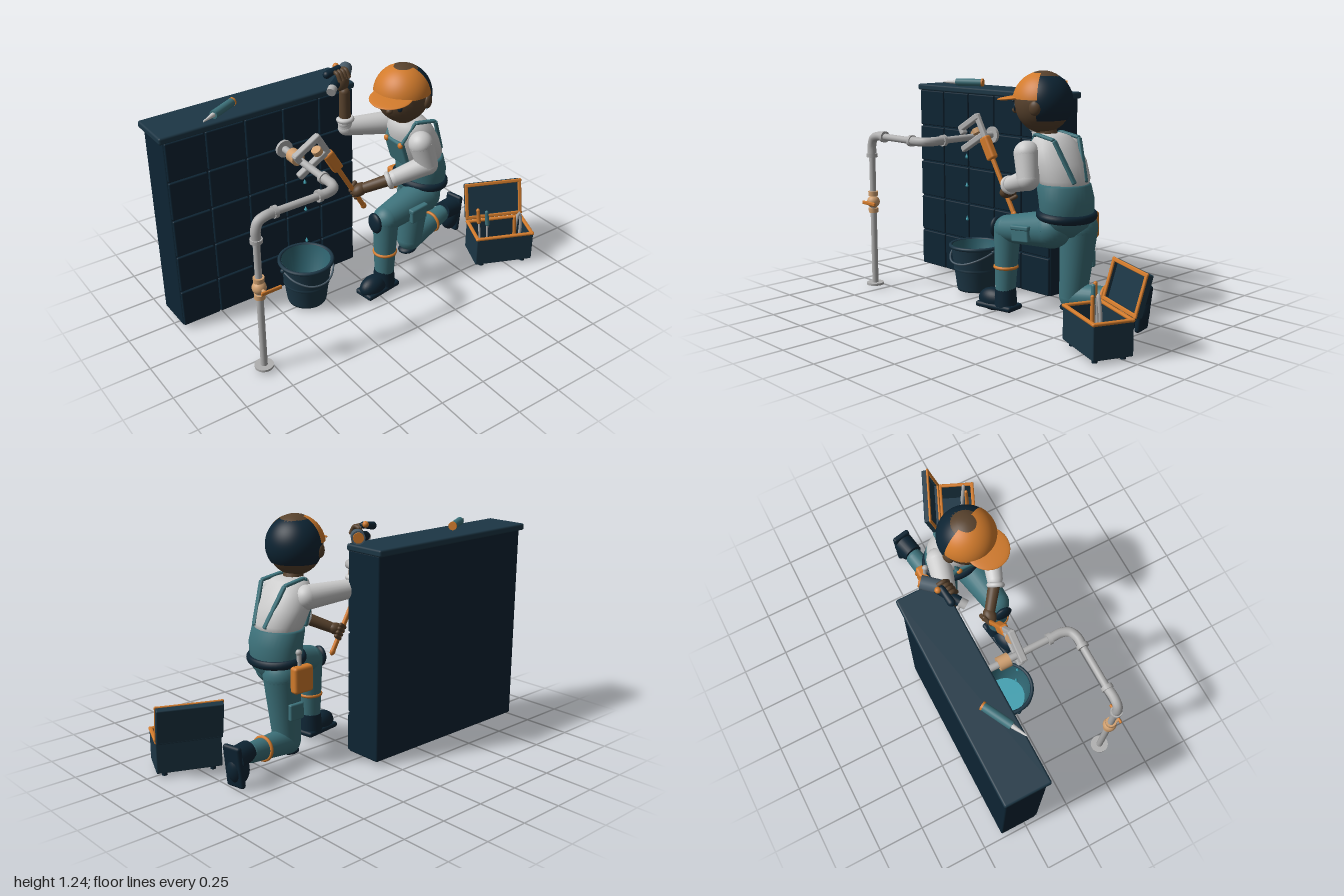
import * as THREE from 'three';
import { mergeVertices } from 'three/addons/utils/BufferGeometryUtils.js';
import { RoundedBoxGeometry } from 'three/addons/geometries/RoundedBoxGeometry.js';

const mat = (color, side = THREE.FrontSide) => new THREE.MeshStandardMaterial({ color, side });
const teal = mat(0x3d727b), dark = mat(0x0d2433), slate = mat(0x1c3645), orange = mat(0xd27b2c), white = mat(0xe6e6e6);
const steel = mat(0xb0b0b0), brass = mat(0xd0a070), skin = mat(0x58422d), grey = mat(0x4a5c69), water = mat(0x3f9fb0);
const V = (p) => new THREE.Vector3(...p);
const UP = new THREE.Vector3(0, 1, 0);

function add(parent, name, geo, material, pos = [0, 0, 0], rot = [0, 0, 0], scale = [1, 1, 1]) {
  const m = new THREE.Mesh(geo, material);
  m.name = name;
  m.position.set(...pos);
  m.rotation.set(...rot);
  m.scale.set(...scale);
  parent.add(m);
  return m;
}
function group(parent, name, pos = [0, 0, 0], rot = [0, 0, 0]) {
  const g = new THREE.Group();
  g.name = name;
  g.position.set(...pos);
  g.rotation.set(...rot);
  parent.add(g);
  return g;
}
const box = (p, name, m, size, pos, rot, r = 0.008) =>
  add(p, name, new RoundedBoxGeometry(...size, 2, Math.min(r, Math.min(...size) * 0.45)), m, pos, rot);
const ball = (p, name, m, r, pos, rot) => add(p, name, new THREE.SphereGeometry(1, 28, 20), m, pos, rot, Array.isArray(r) ? r : [r, r, r]);

// Lay a mesh along the line from a to b
function along(mesh, a, b) {
  const A = V(a), B = V(b);
  mesh.position.copy(A).add(B).multiplyScalar(0.5);
  mesh.quaternion.setFromUnitVectors(UP, B.sub(A).normalize());
  return mesh;
}
const dist = (a, b) => V(a).distanceTo(V(b));
const rod = (p, name, m, a, b, ra, rb = ra) => along(add(p, name, new THREE.CylinderGeometry(rb, ra, dist(a, b), 24), m), a, b);
const strap = (p, name, m, a, b, w, t) => along(box(p, name, m, [t, dist(a, b), w], [0, 0, 0]), a, b);
function limb(p, name, m, a, b, ra, rb) {
  const g = group(p, name);
  rod(g, name, m, a, b, ra, rb);
  ball(g, name + 'Start', m, ra, a);
  ball(g, name + 'End', m, rb, b);
}
const ring = (p, name, m, a, b, r, t) => {
  const holder = along(group(p, name), a, b);
  add(holder, name, new THREE.TorusGeometry(r, t, 10, 32), m, [0, 0, 0], [Math.PI / 2, 0, 0]);
};
const tube = (p, name, m, pts, r) => add(p, name, new THREE.TubeGeometry(new THREE.CatmullRomCurve3(pts.map(V)), 28, r, 14), m);

// Body from elliptical sections [x, y, z, rx, rz], listed from top to bottom
function loft(p, name, m, rows) {
  const geo = new THREE.CylinderGeometry(1, 1, 1, 36, rows.length - 1);
  const pos = geo.attributes.position;
  for (let i = 0; i < pos.count; i++) {
    const s = rows[Math.round((0.5 - pos.getY(i)) * (rows.length - 1))];
    pos.setXYZ(i, s[0] + pos.getX(i) * s[3], s[1], s[2] + pos.getZ(i) * s[4]);
  }
  geo.deleteAttribute('uv');
  geo.deleteAttribute('normal');
  const merged = mergeVertices(geo);
  merged.computeVertexNormals();
  return add(p, name, merged, m);
}

function buildWall(root) {
  const g = group(root, 'tiledWall');
  box(g, 'wallCore', dark, [1.05, 1.05, 0.205], [-0.455, 0.545, -0.285]);
  box(g, 'wallCap', slate, [1.08, 0.035, 0.235], [-0.46, 1.083, -0.288], [0, 0, 0], 0.01);
  for (let i = 0; i < 5; i++)
    for (let j = 0; j < 5; j++) box(g, 'tile', dark, [0.202, 0.202, 0.02], [-0.875 + i * 0.21, 0.125 + j * 0.21, -0.18], [0, 0, 0], 0.006);
  // Sealant tube lying on the cap
  const s = group(root, 'sealantTube');
  rod(s, 'tubeBody', teal, [-0.7, 1.123, -0.21], [-0.565, 1.123, -0.28], 0.021);
  rod(s, 'tubeEnd', orange, [-0.565, 1.123, -0.28], [-0.556, 1.123, -0.285], 0.022);
  rod(s, 'nozzle', white, [-0.77, 1.123, -0.174], [-0.7, 1.123, -0.21], 0.004, 0.012);
}

function buildPipe(root) {
  const g = group(root, 'waterPipe');
  const x = -0.8, z = 0.32, y = 0.855, x2 = -0.353;
  rod(g, 'floorFlange', steel, [x, 0.018, z], [x, 0.03, z], 0.047);
  rod(g, 'riser', steel, [x, 0.02, z], [x, 0.76, z], 0.017);
  rod(g, 'crossPipe', steel, [-0.7, y, z - 0.005], [-0.45, y, z - 0.005], 0.018);
  rod(g, 'wallPipe', steel, [x2, y, 0.22], [x2, y, -0.175], 0.018);
  tube(g, 'firstElbow', steel, [[x, 0.75, z], [x, 0.8, z], [-0.784, 0.839, z], [-0.745, y, z], [-0.69, y, z - 0.005]], 0.024);
  tube(g, 'secondElbow', steel, [[-0.46, y, 0.315], [-0.41, y, 0.315], [-0.37, y, 0.298], [x2, y, 0.26], [x2, y, 0.2]], 0.024);
  for (const [a, b] of [[[x, 0.735, z], [x, 0.755, z]], [[-0.705, y, 0.315], [-0.685, y, 0.315]],
    [[-0.47, y, 0.315], [-0.45, y, 0.315]], [[x2, y, 0.18], [x2, y, 0.2]]]) rod(g, 'elbowCollar', steel, a, b, 0.03);
  rod(g, 'brassNut', brass, [x2, y, -0.09], [x2, y, -0.03], 0.036);
  rod(g, 'wallFlange', steel, [x2, y, -0.172], [x2, y, -0.155], 0.045);
  // Shut-off valve
  ball(g, 'valveBody', brass, 0.035, [x, 0.487, z]);
  for (const cy of [0.44, 0.533]) rod(g, 'valveCollar', brass, [x, cy - 0.012, z], [x, cy + 0.012, z], 0.027);
  rod(g, 'valveStem', brass, [x, 0.487, z], [x, 0.487, 0.38], 0.009);
  box(g, 'valveLever', orange, [0.11, 0.02, 0.012], [-0.767, 0.488, 0.375]);
  // Drips under the joint
  for (const dy of [0.75, 0.595, 0.41]) {
    ball(g, 'drip', water, 0.008, [-0.355, dy, 0.025]);
    add(g, 'dripTip', new THREE.ConeGeometry(0.0075, 0.018, 14), water, [-0.355, dy + 0.012, 0.025]);
  }
}

function buildBucket(root) {
  const g = group(root, 'bucket', [-0.337, 0, -0.02]);
  const lathe = (name, m, pts) => add(g, name, new THREE.LatheGeometry(pts.map((p) => new THREE.Vector2(...p)), 40), m);
  lathe('bucketShell', mat(0x1c3645, THREE.DoubleSide), [[0, 0.018], [0.1, 0.018], [0.104, 0.03], [0.117, 0.13], [0.122, 0.133], [0.122, 0.143], [0.119, 0.146], [0.135, 0.258]]);
  lathe('bucketLining', mat(0x2f6470, THREE.DoubleSide), [[0, 0.04], [0.096, 0.04], [0.128, 0.268]]);
  add(g, 'bucketRim', new THREE.TorusGeometry(0.138, 0.01, 10, 40), slate, [0, 0.264, 0], [Math.PI / 2, 0, 0]);
  add(g, 'bucketWater', new THREE.CircleGeometry(0.106, 32), water, [0, 0.1, 0], [-Math.PI / 2, 0, 0]);
  tube(g, 'bucketHandle', grey, [[-0.142, 0.245, 0], [-0.12, 0.215, 0.075], [-0.06, 0.187, 0.128], [0, 0.18, 0.14], [0.06, 0.187, 0.128], [0.12, 0.215, 0.075], [0.142, 0.245, 0]], 0.005);
  for (const s of [-1, 1]) ball(g, 'handleEar', slate, 0.014, [s * 0.14, 0.245, 0]);
}

function buildWrench(root) {
  const g = group(root, 'pipeWrench', [0, 0.49, 0.02], [0, 0, 0.525]);
  box(g, 'wrenchHandle', orange, [0.025, 0.34, 0.02], [0, 0.165, 0]);
  box(g, 'wrenchHousing', orange, [0.058, 0.13, 0.042], [0, 0.375, 0], [0, 0, 0], 0.012);
  box(g, 'wrenchShank', steel, [0.032, 0.16, 0.026], [0.005, 0.49, 0]);
  box(g, 'upperJaw', steel, [0.165, 0.034, 0.036], [-0.065, 0.556, 0]);
  box(g, 'jawHook', steel, [0.03, 0.05, 0.036], [-0.137, 0.545, 0]);
  box(g, 'lowerJaw', steel, [0.18, 0.034, 0.036], [-0.095, 0.452, 0]);
  rod(g, 'adjustingNut', brass, [-0.035, 0.478, 0], [-0.035, 0.505, 0], 0.026);
  ball(g, 'wrenchEnd', orange, [0.016, 0.02, 0.012], [0, 0, 0]);
}

function buildHead(w) {
  const h = group(w, 'head', [0.225, 1.085, 0.042], [0, Math.PI + 0.44, 0]);
  ball(h, 'face', skin, [0.14, 0.152, 0.138], [0, 0, 0]);
  const shell = (name, m, r, from, len, th) => add(h, name, new THREE.SphereGeometry(r, 40, 24, from, len, 0, th), m);
  shell('hair', mat(0x0d2433, THREE.DoubleSide), 0.148, -1.5, 3.0, 2.17);
  shell('cap', mat(0xd27b2c, THREE.DoubleSide), 0.15, 1.45, 2 * Math.PI - 2.9, 1.45);
  ball(h, 'capBrim', orange, [0.11, 0.011, 0.11], [0.125, 0.02, 0], [0, 0, -0.12]);
  for (const s of [-1, 1]) {
    ball(h, 'ear', skin, [0.03, 0.036, 0.018], [-0.005, -0.02, s * 0.138]);
    ball(h, 'eye', dark, [0.008, 0.02, 0.014], [0.127, -0.025, s * 0.05]);
    box(h, 'eyebrow', dark, [0.012, 0.01, 0.04], [0.133, 0.006, s * 0.048]);
  }
  ball(h, 'nose', skin, [0.02, 0.016, 0.018], [0.14, -0.045, 0]);
  rod(w, 'neck', skin, [0.26, 0.89, 0.03], [0.23, 0.98, 0.04], 0.05);
}

function buildTorso(w) {
  loft(w, 'shirt', white, [[0.265, 0.935, 0.03, 0.05, 0.055], [0.272, 0.92, 0.03, 0.085, 0.1], [0.29, 0.87, 0.025, 0.11, 0.135], [0.315, 0.8, 0.022, 0.125, 0.148], [0.35, 0.72, 0.022, 0.118, 0.14], [0.36, 0.66, 0.022, 0.1, 0.12]]);
  loft(w, 'trouserHips', teal, [[0.35, 0.7, 0.025, 0.11, 0.135], [0.352, 0.69, 0.025, 0.122, 0.146], [0.37, 0.62, 0.025, 0.122, 0.152], [0.372, 0.55, 0.022, 0.118, 0.148], [0.37, 0.49, 0.02, 0.11, 0.135], [0.365, 0.44, 0.02, 0.065, 0.09]]);
  add(w, 'belt', new THREE.TorusGeometry(0.128, 0.017, 12, 40), dark, [0.37, 0.545, 0.022], [Math.PI / 2, -0.1, 0], [0.95, 1.15, 1.3]);
  box(w, 'bib', teal, [0.025, 0.15, 0.15], [0.207, 0.755, 0.03], [0, 0, 0.3], 0.012);
  for (const s of [-1, 1]) {
    const z = (d) => 0.033 + s * d;
    strap(w, 'backStrap', teal, [0.465, 0.71, z(0.04)], [0.375, 0.915, z(0.09)], 0.026, 0.016);
    strap(w, 'shoulderStrap', teal, [0.375, 0.915, z(0.09)], [0.25, 0.935, z(0.085)], 0.026, 0.016);
    strap(w, 'frontStrap', teal, [0.25, 0.935, z(0.085)], [0.185, 0.82, z(0.06)], 0.026, 0.016);
    ball(w, 'strapButton', orange, [0.012, 0.016, 0.016], [0.178, 0.815, z(0.058)]);
  }
  // Hip pouch with a tool
  box(w, 'toolPouch', orange, [0.115, 0.135, 0.05], [0.355, 0.47, -0.155], [0, 0, 0], 0.015);
  rod(w, 'pouchTool', steel, [0.36, 0.52, -0.143], [0.36, 0.6, -0.14], 0.012);
  ball(w, 'pouchToolTip', steel, 0.016, [0.36, 0.6, -0.14]);
}

function buildArms(w) {
  // Arm pulling on the wrench
  limb(w, 'leftUpperSleeve', white, [0.245, 0.845, 0.175], [0.275, 0.725, 0.195], 0.064, 0.055);
  limb(w, 'leftForeSleeve', white, [0.275, 0.725, 0.195], [0.11, 0.675, 0.14], 0.054, 0.042);
  ring(w, 'leftCuff', white, [0.09, 0.67, 0.135], [0.07, 0.662, 0.125], 0.034, 0.014);
  limb(w, 'leftForearm', skin, [0.1, 0.672, 0.135], [-0.01, 0.615, 0.05], 0.032, 0.028);
  ball(w, 'leftPalm', skin, [0.045, 0.032, 0.034], [-0.035, 0.605, 0.035], [0, 0, 0.4]);
  for (let i = 0; i < 4; i++) limb(w, 'leftFinger', skin, [-0.04 + i * 0.011, 0.632 - i * 0.018, 0.0], [-0.08 + i * 0.011, 0.607 - i * 0.018, 0.018], 0.011, 0.011);
  // Raised arm with the torch
  limb(w, 'rightUpperSleeve', white, [0.27, 0.85, -0.095], [0.025, 0.868, -0.16], 0.062, 0.047);
  limb(w, 'rightForeSleeve', white, [0.02, 0.868, -0.16], [0.008, 0.9, -0.155], 0.046, 0.038);
  ring(w, 'rightCuff', white, [0.007, 0.915, -0.152], [0.007, 0.925, -0.152], 0.034, 0.014);
  limb(w, 'rightForearm', skin, [0.007, 0.9, -0.152], [0.005, 1.07, -0.152], 0.031, 0.027);
  ball(w, 'rightPalm', skin, [0.036, 0.05, 0.03], [0.0, 1.12, -0.165]);
  for (let i = 0; i < 4; i++) tube(w, 'rightFinger', skin, [[0.035 - i * 0.021, 1.14, -0.152 + i * 0.004], [0.03 - i * 0.021, 1.178, -0.175 + i * 0.004], [0.028 - i * 0.021, 1.172, -0.21 + i * 0.004]], 0.011);
  const t = group(w, 'torch');
  rod(t, 'torchBody', dark, [0.05, 1.142, -0.225], [-0.07, 1.115, -0.145], 0.024);
  rod(t, 'torchHead', grey, [0.09, 1.142, -0.265], [0.03, 1.136, -0.195], 0.034);
  rod(t, 'torchTail', steel, [-0.07, 1.115, -0.145], [-0.095, 1.105, -0.125], 0.024);
  rod(t, 'torchRing', orange, [0.095, 1.142, -0.272], [0.088, 1.142, -0.263], 0.026);
  limb(t, 'hammerGrip', dark, [-0.075, 1.172, -0.19], [0.0, 1.185, -0.2], 0.02, 0.016);
  ball(t, 'gripEnd', orange, 0.016, [0.0, 1.19, -0.22]);
}

function buildLegs(w) {
  // Planted front leg
  limb(w, 'leftThigh', teal, [0.335, 0.475, 0.09], [0.068, 0.442, 0.13], 0.095, 0.07);
  limb(w, 'leftShin', teal, [0.064, 0.44, 0.13], [0.055, 0.13, 0.135], 0.068, 0.052);
  ball(w, 'leftKneePad', dark, [0.022, 0.056, 0.05], [-0.006, 0.44, 0.132]);
  ring(w, 'leftReflectiveBand', orange, [0.058, 0.24, 0.134], [0.058, 0.25, 0.134], 0.056, 0.009);
  box(w, 'thighPocket', teal, [0.105, 0.075, 0.03], [0.225, 0.447, 0.195], [0, 0.1, 0.06]);
  box(w, 'pocketFlap', teal, [0.112, 0.024, 0.036], [0.225, 0.48, 0.197], [0, 0.1, 0.06]);
  const f = group(w, 'leftBoot', [0.01, 0, 0.14], [0, 0.15, 0]);
  box(f, 'bootSole', dark, [0.225, 0.03, 0.115], [0, 0.034, 0], [0, 0, 0], 0.014);
  ball(f, 'bootToe', dark, [0.085, 0.06, 0.055], [-0.035, 0.06, 0]);
  rod(f, 'bootShaft', dark, [0.045, 0.04, 0], [0.045, 0.135, 0], 0.06, 0.053);
  // Kneeling rear leg
  limb(w, 'rightThigh', teal, [0.39, 0.47, -0.045], [0.36, 0.118, -0.04], 0.095, 0.07);
  limb(w, 'rightShin', teal, [0.36, 0.115, -0.04], [0.63, 0.145, -0.1], 0.069, 0.05);
  ball(w, 'rightKneePad', dark, [0.055, 0.022, 0.048], [0.345, 0.058, -0.035], [0, 0, 0.1]);
  ring(w, 'rightReflectiveBand', orange, [0.54, 0.135, -0.08], [0.55, 0.136, -0.082], 0.057, 0.009);
  box(w, 'rearPocket', teal, [0.085, 0.085, 0.025], [0.375, 0.3, -0.133]);
  const r = group(w, 'rightBoot', [0.7, 0.12, -0.11], [0, 0.2, -0.12]);
  box(r, 'bootSole', dark, [0.03, 0.22, 0.105], [0.045, 0, 0], [0, 0, 0], 0.014);
  ball(r, 'bootToe', dark, [0.055, 0.08, 0.052], [0.02, -0.025, 0]);
  rod(r, 'bootShaft', dark, [-0.06, 0.035, 0], [0.04, 0.035, 0], 0.052, 0.058);
}

function buildToolbox(root) {
  const g = group(root, 'toolbox', [0.77, 0, 0.252], [0, -0.41, 0]);
  // A tray of four walls, a floor and a coloured rim
  const tray = (p, L, D, H, rimH) => {
    box(p, 'trayFloor', slate, [L, 0.015, D], [0, 0.008, 0]);
    for (const s of [-1, 1]) {
      box(p, 'longWall', slate, [L, H, 0.014], [0, H / 2, s * (D / 2 - 0.007)]);
      box(p, 'endWall', slate, [0.014, H, D], [s * (L / 2 - 0.007), H / 2, 0]);
      box(p, 'longRim', orange, [L + 0.01, rimH, 0.02], [0, H, s * (D / 2 - 0.006)]);
      box(p, 'endRim', orange, [0.02, rimH, D + 0.01], [s * (L / 2 - 0.006), H, 0]);
    }
  };
  tray(group(g, 'toolboxBase', [0, 0.02, 0]), 0.325, 0.2, 0.165, 0.016);
  const hinge = group(g, 'toolboxLid', [0, 0.195, -0.105], [-0.28, 0, 0]);
  tray(group(hinge, 'lidShell', [0, 0.1, -0.035], [Math.PI / 2, 0, 0]), 0.325, 0.2, 0.035, 0.012);
  for (const sx of [-1, 1]) for (const sz of [-1, 1]) rod(g, 'foot', dark, [sx * 0.12, 0, sz * 0.07], [sx * 0.12, 0.022, sz * 0.07], 0.014);
  // Tools standing in the tray
  for (let i = 0; i < 2; i++) {
    rod(g, 'driverShaft', steel, [-0.1 + i * 0.04, 0.05, -0.02], [-0.112 + i * 0.04, 0.24, -0.04 + i * 0.03], 0.006);
    limb(g, 'driverHandle', i ? teal : orange, [-0.11 + i * 0.04, 0.21, -0.04 + i * 0.03], [-0.118 + i * 0.04, 0.285, -0.045 + i * 0.03], 0.012, 0.01);
  }
  tube(g, 'plierHandles', steel, [[0.075, 0.08, 0.03], [0.078, 0.24, 0.04], [0.09, 0.295, 0.042], [0.104, 0.24, 0.04], [0.106, 0.08, 0.03]], 0.009);
  limb(g, 'fileHandle', orange, [0.07, 0.1, 0.06], [0.06, 0.28, 0.055], 0.012, 0.009);
}

export function createModel() {
  const root = new THREE.Group();
  root.name = 'plumberScene';
  buildWall(root);
  buildPipe(root);
  buildBucket(root);
  buildWrench(root);
  const worker = group(root, 'worker');
  for (const build of [buildHead, buildTorso, buildArms, buildLegs]) build(worker);
  buildToolbox(root);
  return root;
}
